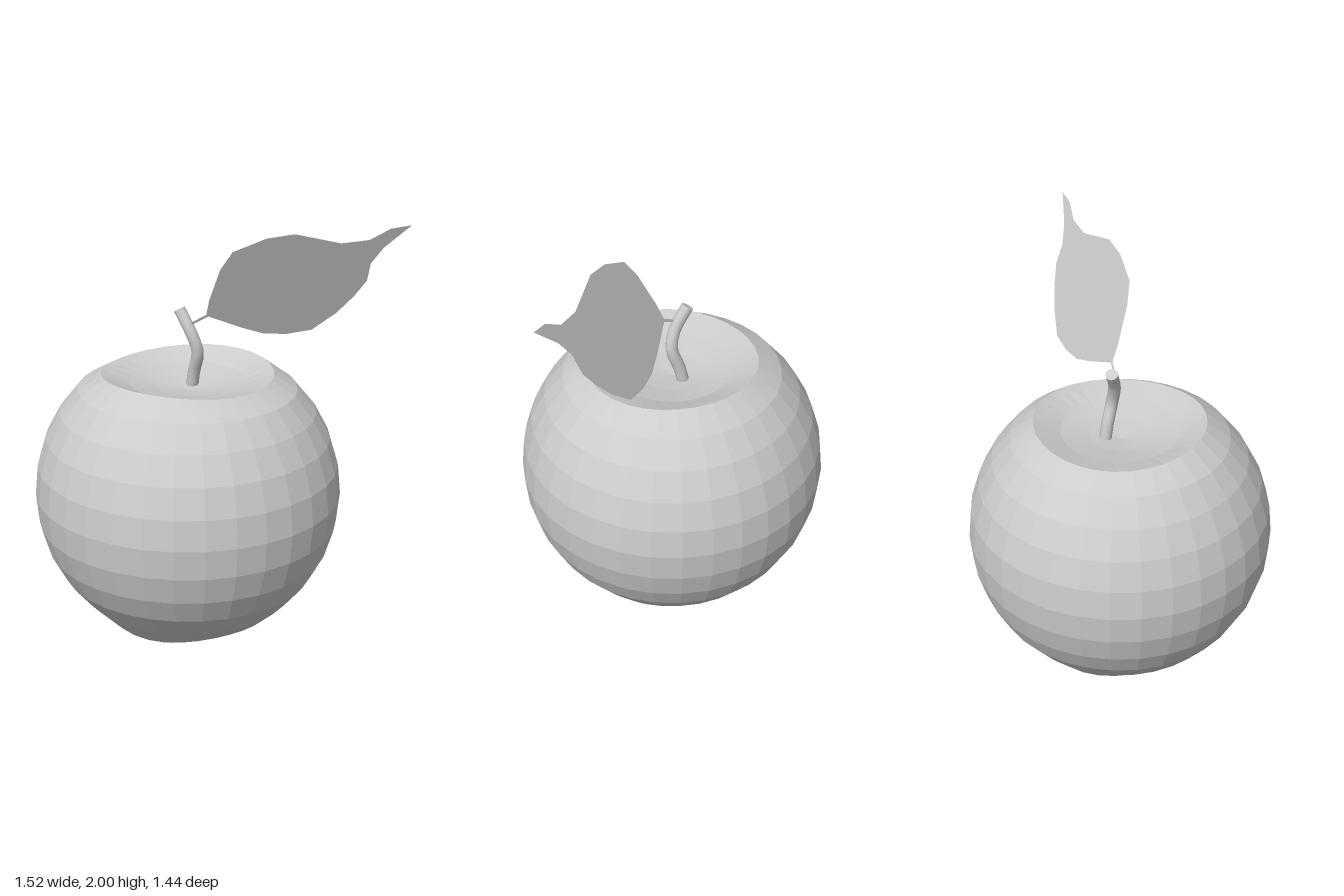
import * as THREE from 'three';

const grey = (extra = {}) => new THREE.MeshStandardMaterial({ color: 0xcccccc, ...extra });

// Faceted fruit: a sphere whose pole rings are pushed in to form the two hollows
function makeFruit() {
  const sides = 32, radius = 0.722, centerY = 0.7;
  const geo = new THREE.SphereGeometry(radius, sides, 16);
  const pos = geo.attributes.position;
  const topHollow = [1.19, 1.21, 1.24];
  for (let i = 0; i < pos.count; i++) {
    const ring = Math.floor(i / (sides + 1));
    const a = ((i % (sides + 1)) / sides) * Math.PI * 2;
    const angle = Math.PI - a; // angle from +x towards +z
    let y = pos.getY(i) + centerY;
    if (ring < 3) y = topHollow[ring];
    // uneven upper rim
    if (ring === 3) y = 1.284 + 0.012 * Math.cos(2 * angle + 0.9);
    // three soft lobes round the base
    const lobe = Math.cos(3 * (angle - 0.52));
    if (ring === 13) y = 0.085 - 0.012 * lobe;
    if (ring === 14) y = 0.018 - 0.014 * lobe;
    if (ring === 15) y = 0.1;
    if (ring === 16) y = 0.13;
    pos.setY(i, y);
  }
  geo.computeVertexNormals();
  const fruit = new THREE.Mesh(geo, grey({ flatShading: true }));
  fruit.position.x = -0.04;
  fruit.name = 'fruit';
  return fruit;
}

// Bent stalk with a flat cut at the top
function makeStem() {
  const stem = new THREE.Group();
  stem.name = 'stem';
  const points = [
    [0.01, 1.18, -0.05], [0.01, 1.27, -0.03], [0.01, 1.37, 0.005],
    [-0.015, 1.46, -0.01], [-0.045, 1.565, -0.07],
  ].map((p) => new THREE.Vector3(...p));
  const curve = new THREE.CatmullRomCurve3(points);
  const stalk = new THREE.Mesh(new THREE.TubeGeometry(curve, 10, 0.029, 10), grey());
  stalk.name = 'stalk';
  const cut = new THREE.Mesh(new THREE.CircleGeometry(0.029, 10), grey());
  cut.name = 'stalkCut';
  cut.position.copy(curve.getPoint(1));
  cut.quaternion.setFromUnitVectors(new THREE.Vector3(0, 0, 1), curve.getTangent(1));
  stem.add(stalk, cut);
  return stem;
}

// Flat leaf: outline drawn face on, then sheared on to a slanting plane
function makeLeaf() {
  const outline = [
    [-0.035, 1.485], [-0.03, 1.505], [0.035, 1.555], [0.03, 1.63], [0.04, 1.79],
    [0.07, 1.88], [0.19, 1.945], [0.3, 1.965], [0.5, 1.915], [0.61, 1.93],
    [0.68, 1.985], [0.76, 2.0], [0.68, 1.89], [0.65, 1.81], [0.66, 1.72],
    [0.63, 1.64], [0.58, 1.55], [0.5, 1.46], [0.4, 1.44], [0.3, 1.445],
    [0.2, 1.48], [0.045, 1.545],
  ].map(([x, y]) => new THREE.Vector2(x, y));
  const geo = new THREE.ShapeGeometry(new THREE.Shape(outline));
  const pos = geo.attributes.position;
  for (let i = 0; i < pos.count; i++) {
    pos.setZ(i, 0.11 + 0.46 * (pos.getX(i) - 0.3) + 0.48 * (pos.getY(i) - 1.445));
  }
  geo.computeVertexNormals();
  const leaf = new THREE.Mesh(geo, grey({ side: THREE.DoubleSide }));
  leaf.name = 'leaf';
  return leaf;
}

export function createModel() {
  const model = new THREE.Group();
  model.name = 'apple';
  model.add(makeFruit(), makeStem(), makeLeaf());
  return model;
}
